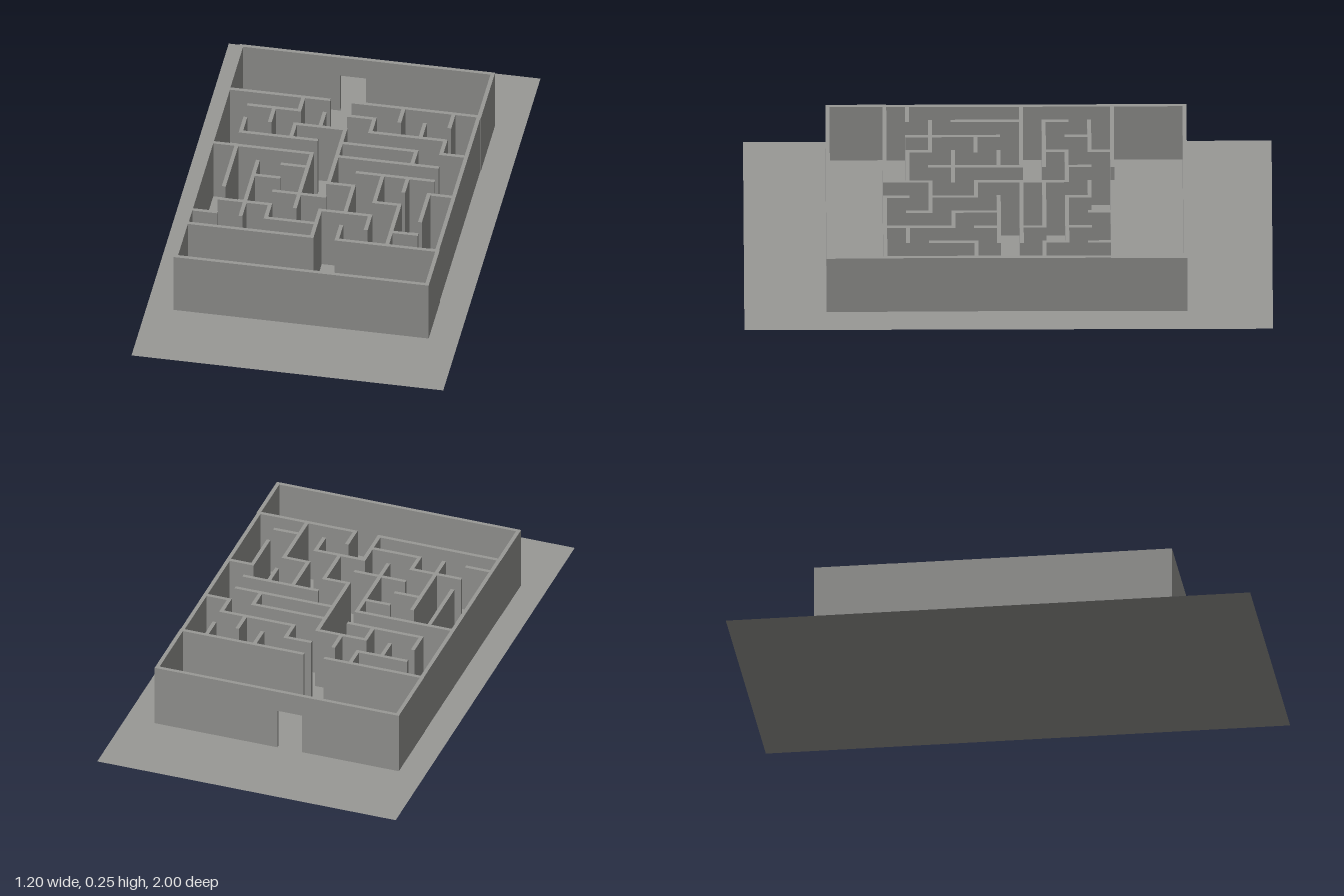
import * as THREE from 'three';

const H = 0.25;    // wall height
const T = 0.015;   // wall thickness
const gx = (i) => -0.488 + 0.0964 * i; // maze grid columns 0..10
const gz = (j) => -0.395 + 0.0861 * j; // maze grid rows 0..10

// Walls along x: for each row, [from column, to column]
const rows = [
  [[0, 4], [5, 10]],
  [[1, 3], [5, 6]],
  [[3, 5], [6, 9]],
  [[1, 4], [5, 8], [9, 10]],
  [[0, 4], [5, 9]],
  [[3, 4], [6, 9]],
  [[2, 3], [5, 6], [9, 10]],
  [[3, 5], [7, 8]],
  [[1, 3], [5, 7]],
  [[0, 1], [3, 5], [8, 9]],
  [[0, 5], [6, 10]],
];

// Walls along z: for each column, [from row, to row]
const columns = [
  [[0, 10]],
  [[2, 3], [4, 7]],
  [[1, 2], [5, 9]],
  [[0, 1], [2, 3], [8, 9]],
  [[1, 2], [4, 8]],
  [[2, 6], [8, 10]],
  [[1, 2], [6, 8], [9, 10]],
  [[0, 1], [5, 7], [8, 9]],
  [[1, 2], [3, 4], [5, 6], [7, 10]],
  [[0, 1], [2, 3], [6, 8]],
  [[0, 10]],
];

export function createModel() {
  const model = new THREE.Group();
  model.name = 'maze';
  const stone = new THREE.MeshStandardMaterial({ color: 0x999996 });
  stone.name = 'grey stone';
  const ground = new THREE.MeshStandardMaterial({ color: 0x999996, side: THREE.DoubleSide });
  ground.name = 'grey ground';

  // Wall on the centre line from (x0, z0) to (x1, z1), with square ends
  const wall = (parent, name, x0, z0, x1, z1) => {
    const mesh = new THREE.Mesh(new THREE.BoxGeometry(x1 - x0 + T, H, z1 - z0 + T), stone);
    mesh.position.set((x0 + x1) / 2, H / 2, (z0 + z1) / 2);
    mesh.name = name;
    parent.add(mesh);
  };

  // Ground sheet
  const floor = new THREE.Mesh(new THREE.PlaneGeometry(1.2, 2), ground);
  floor.rotation.x = -Math.PI / 2;
  floor.name = 'ground';
  model.add(floor);

  // Maze walls
  const maze = new THREE.Group();
  maze.name = 'mazeWalls';
  rows.forEach((spans, j) => spans.forEach(([a, b]) => wall(maze, 'crossWall', gx(a), gz(j), gx(b), gz(j))));
  columns.forEach((spans, i) => spans.forEach(([a, b]) => wall(maze, 'lengthWall', gx(i), gz(a), gx(i), gz(b))));
  model.add(maze);

  // Front and back rooms
  const left = -0.489, right = 0.478, front = 0.681, back = -0.67;
  const rooms = new THREE.Group();
  rooms.name = 'roomWalls';
  for (const x of [left, right]) {
    wall(rooms, 'frontRoomSide', x, gz(10), x, front);
    wall(rooms, 'backRoomSide', x, back, x, gz(0));
  }
  wall(rooms, 'frontWall', left, front, right, front);

  // Back wall with a doorway
  const x0 = left - T / 2, x1 = right + T / 2, d0 = -0.108, d1 = -0.008, doorHeight = 0.165;
  const outline = new THREE.Shape();
  [[x0, 0], [d0, 0], [d0, doorHeight], [d1, doorHeight], [d1, 0], [x1, 0], [x1, H], [x0, H]]
    .forEach(([x, y], k) => (k ? outline.lineTo(x, y) : outline.moveTo(x, y)));
  const backWall = new THREE.Mesh(new THREE.ExtrudeGeometry(outline, { depth: T, bevelEnabled: false }), stone);
  backWall.position.z = back - T / 2;
  backWall.name = 'backWallWithDoorway';
  rooms.add(backWall);
  model.add(rooms);

  return model;
}
